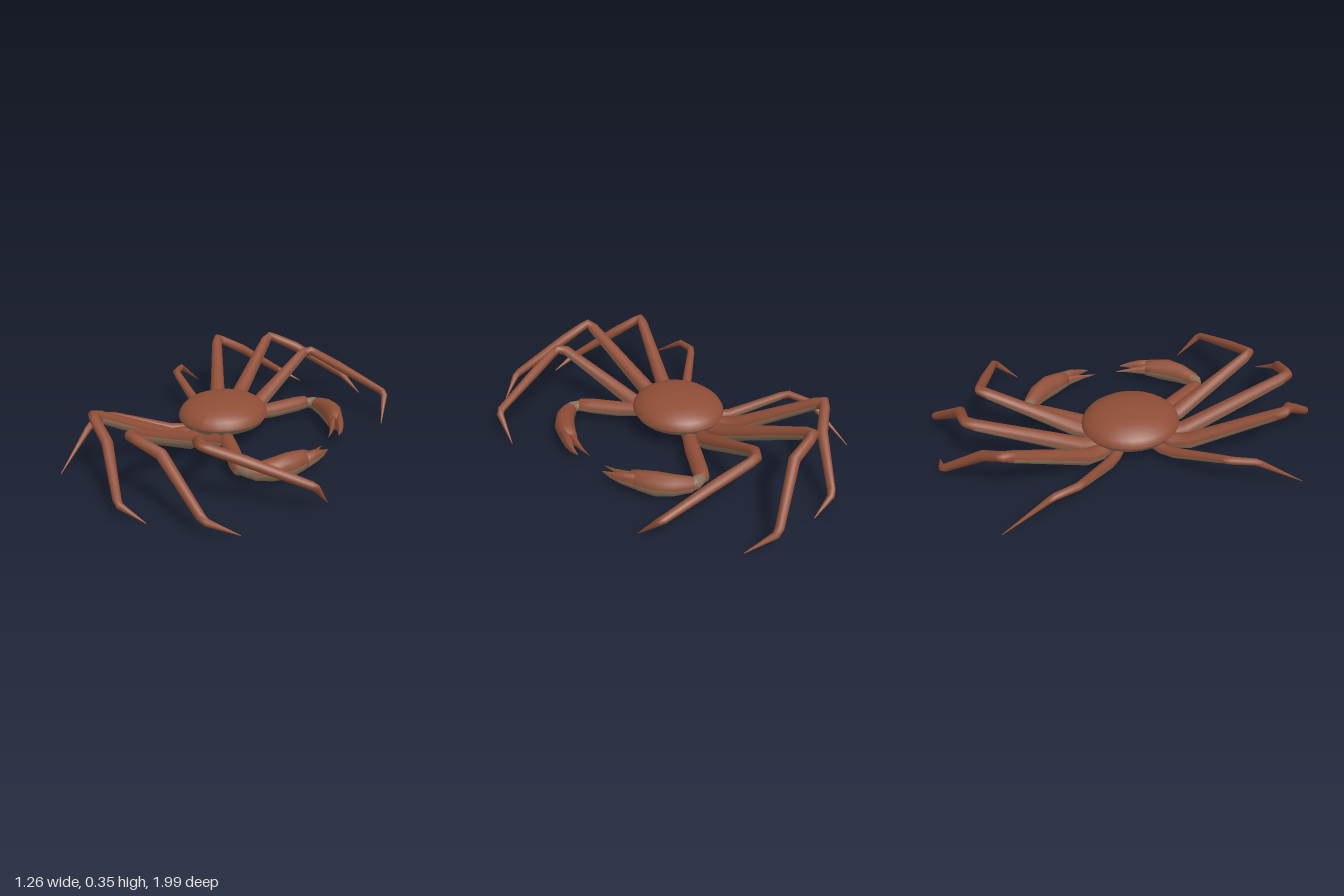
import * as THREE from 'three';

const shell = new THREE.MeshStandardMaterial({ color: 0x8f4e37 });
shell.name = 'shell brown';
const under = new THREE.MeshStandardMaterial({ color: 0x8a6f58 });
under.name = 'underside tan';

const SIDES = 10;

// Tapered limb through stations [x, y, z, halfWidth, halfHeight];
// the first `pale` spans have a tan lower half.
function limb(name, stations, pale, side, materials = [shell, under]) {
  const pts = stations.map(([x, y, z]) => new THREE.Vector3(x, y, z * side));
  const pos = [], top = [], low = [];
  const up = new THREE.Vector3(0, 1, 0);
  const last = pts.length - 1;
  pts.forEach((p, i) => {
    const t = new THREE.Vector3();
    if (i > 0) t.add(p.clone().sub(pts[i - 1]).normalize());
    if (i < last) t.add(pts[i + 1].clone().sub(p).normalize());
    t.normalize();
    const across = up.clone().cross(t).normalize();
    const rise = t.clone().cross(across);
    const w = stations[i][3], h = stations[i][4] ?? w;
    for (let j = 0; j < SIDES; j++) {
      const a = (j / SIDES) * Math.PI * 2;
      const v = p.clone().addScaledVector(across, w * Math.cos(a)).addScaledVector(rise, h * Math.sin(a));
      pos.push(v.x, v.y, v.z);
    }
  });
  for (let i = 0; i < last; i++) {
    for (let j = 0; j < SIDES; j++) {
      const k = (j + 1) % SIDES;
      const a = i * SIDES + j, b = i * SIDES + k;
      const list = j >= SIDES / 2 && i < pale ? low : top;
      list.push(a, b, a + SIDES, b, b + SIDES, a + SIDES);
    }
  }
  // End caps
  for (let j = 1; j < SIDES - 1; j++) {
    const e = last * SIDES;
    top.push(0, j + 1, j, e, e + j, e + j + 1);
  }
  const g = new THREE.BufferGeometry();
  g.setAttribute('position', new THREE.Float32BufferAttribute(pos, 3));
  g.setIndex([...top, ...low]);
  g.addGroup(0, top.length, 0);
  g.addGroup(top.length, low.length, 1);
  g.computeVertexNormals();
  const mesh = new THREE.Mesh(g, materials);
  mesh.name = name;
  return mesh;
}

// Walking legs, front to rear: hip, thigh, knee, shin, foot tip
const legs = {
  frontLeg: [
    [-0.10, 0.085, 0.03, 0.02], [-0.06, 0.07, 0.2, 0.04], [-0.035, 0.085, 0.28, 0.042],
    [0.09, 0.285, 0.69, 0.028], [0.125, 0.292, 0.73, 0.026], [0.16, 0.28, 0.728, 0.024],
    [0.31, 0.235, 0.69, 0.026], [0.59, 0.142, 0.622, 0.02], [0.61, 0.125, 0.605, 0.018], [0.628, 0.002, 0.49, 0.002],
  ],
  secondLeg: [
    [-0.12, 0.085, 0.03, 0.02], [-0.165, 0.062, 0.2, 0.045], [-0.17, 0.075, 0.28, 0.045],
    [-0.18, 0.305, 0.78, 0.03], [-0.17, 0.322, 0.82, 0.027], [-0.13, 0.31, 0.83, 0.025],
    [-0.01, 0.27, 0.84, 0.028], [0.235, 0.095, 0.97, 0.021], [0.265, 0.075, 0.975, 0.018], [0.388, 0.004, 0.905, 0.002],
  ],
  thirdLeg: [
    [-0.14, 0.085, 0.03, 0.02], [-0.235, 0.062, 0.19, 0.042], [-0.27, 0.075, 0.27, 0.043],
    [-0.445, 0.295, 0.64, 0.03], [-0.457, 0.312, 0.675, 0.027], [-0.435, 0.3, 0.695, 0.025],
    [-0.33, 0.235, 0.765, 0.027], [-0.175, 0.072, 0.95, 0.02], [-0.15, 0.055, 0.968, 0.017], [-0.02, 0.004, 0.975, 0.002],
  ],
  rearLeg: [
    [-0.16, 0.085, 0.02, 0.02], [-0.28, 0.06, 0.12, 0.028], [-0.34, 0.068, 0.17, 0.028],
    [-0.555, 0.165, 0.34, 0.021], [-0.585, 0.175, 0.37, 0.02], [-0.612, 0.165, 0.48, 0.018],
    [-0.615, 0.15, 0.51, 0.016], [-0.628, 0.004, 0.735, 0.002],
  ],
};

// Claw arm pieces: arm, elbow, palm, two fingers
const arm = [
  [-0.06, 0.09, 0.05, 0.02], [-0.01, 0.078, 0.18, 0.036], [0.06, 0.07, 0.28, 0.042],
  [0.15, 0.07, 0.41, 0.042], [0.19, 0.07, 0.465, 0.036], [0.2, 0.07, 0.475, 0.015],
];
const elbow = [
  [0.17, 0.07, 0.44, 0.022], [0.2, 0.07, 0.465, 0.028], [0.24, 0.07, 0.472, 0.034], [0.275, 0.07, 0.46, 0.034],
];
const palm = [
  [0.23, 0.068, 0.478, 0.02, 0.025], [0.265, 0.068, 0.462, 0.04, 0.042], [0.33, 0.071, 0.415, 0.05, 0.057],
  [0.385, 0.073, 0.35, 0.053, 0.066], [0.42, 0.073, 0.28, 0.046, 0.056], [0.435, 0.073, 0.23, 0.034, 0.042],
];
const outerFinger = [
  [0.445, 0.074, 0.27, 0.026, 0.042], [0.473, 0.074, 0.2, 0.022, 0.033], [0.492, 0.072, 0.15, 0.012, 0.018], [0.5, 0.07, 0.095, 0.002],
];
const innerFinger = [
  [0.415, 0.07, 0.27, 0.024, 0.035], [0.432, 0.068, 0.2, 0.015, 0.025], [0.448, 0.065, 0.13, 0.007, 0.011], [0.456, 0.064, 0.06, 0.001],
];

function bodyPart(name, profile, material) {
  const g = new THREE.LatheGeometry(profile.map(([r, y]) => new THREE.Vector2(r, y)), 32);
  g.scale(0.23, 1, 0.252);
  g.computeVertexNormals();
  const mesh = new THREE.Mesh(g, material);
  mesh.name = name;
  mesh.position.x = -0.11;
  return mesh;
}

export function createModel() {
  const crab = new THREE.Group();
  crab.name = 'crab';

  // Domed carapace over a pale belly
  crab.add(bodyPart('carapace', [
    [1, 0.128], [0.99, 0.145], [0.93, 0.168], [0.8, 0.192], [0.6, 0.211], [0.35, 0.223], [0, 0.228],
  ], shell));
  crab.add(bodyPart('belly', [
    [0, 0.075], [0.45, 0.072], [0.75, 0.08], [0.92, 0.1], [1, 0.128],
  ], under));

  // Mirrored limbs
  for (const side of [1, -1]) {
    const label = side > 0 ? 'Left' : 'Right';
    for (const [name, path] of Object.entries(legs)) crab.add(limb(name + label, path, 3, side));
    const claw = new THREE.Group();
    claw.name = 'clawArm' + label;
    claw.add(
      limb('arm', arm, 5, side),
      limb('elbow', elbow, 0, side, [under, under]),
      limb('palm', palm, 5, side),
      limb('outerFinger', outerFinger, 3, side),
      limb('innerFinger', innerFinger, 3, side),
    );
    crab.add(claw);
  }
  return crab;
}
